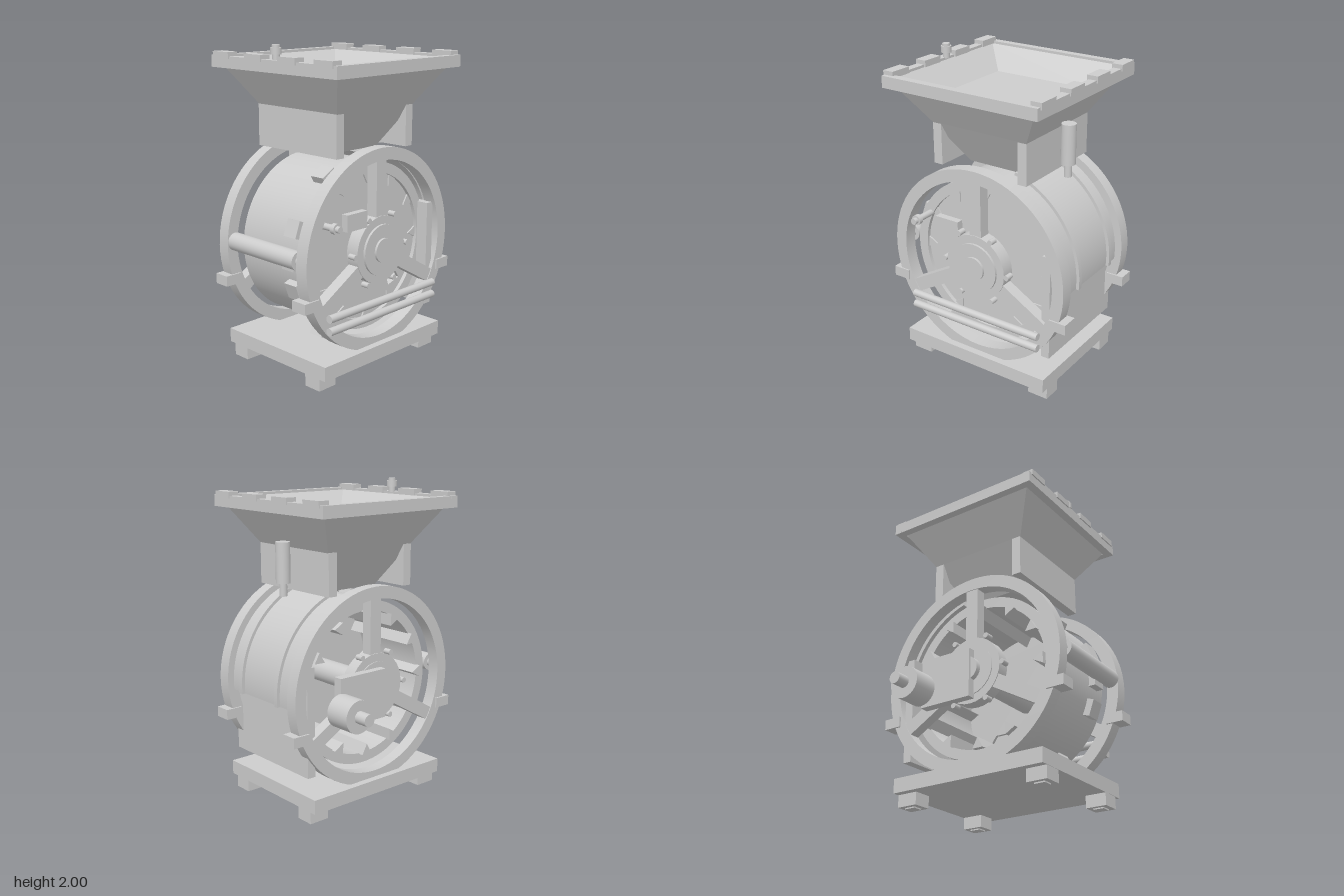
import * as THREE from 'three';
import { toCreasedNormals } from 'three/addons/utils/BufferGeometryUtils.js';

const CY = 0.767; // height of the drum axis
const MID = 0.078; // middle of the frame along x

export function createModel() {
  const model = new THREE.Group();
  const steel = new THREE.MeshStandardMaterial({ color: 0xcccccc });
  const sheetSteel = new THREE.MeshStandardMaterial({ color: 0xcccccc, side: THREE.DoubleSide });
  steel.name = 'steel';
  sheetSteel.name = 'sheetSteel';

  const add = (name, geo, mat = steel) => {
    const mesh = new THREE.Mesh(geo, mat);
    mesh.name = name;
    model.add(mesh);
    return mesh;
  };
  // box given by its limits
  const box = (name, x0, x1, y0, y1, z0, z1) =>
    add(name, new THREE.BoxGeometry(x1 - x0, y1 - y0, z1 - z0))
      .position.set((x0 + x1) / 2, (y0 + y1) / 2, (z0 + z1) / 2);
  // round bars along x and y
  const barX = (name, x0, x1, r, y, z) =>
    add(name, new THREE.CylinderGeometry(r, r, x1 - x0, 32).rotateZ(Math.PI / 2))
      .position.set((x0 + x1) / 2, y, z);
  const barY = (name, y0, y1, r, x, z) =>
    add(name, new THREE.CylinderGeometry(r, r, y1 - y0, 24)).position.set(x, (y0 + y1) / 2, z);
  // side profile (u towards the back, v up, around the axis) extruded along x
  const extrudeX = (name, shape, x0, x1) => {
    const geo = new THREE.ExtrudeGeometry(shape, { depth: x1 - x0, bevelEnabled: false, curveSegments: 40 });
    add(name, toCreasedNormals(geo.rotateY(Math.PI / 2), 0.5)).position.set(x0, CY, 0);
  };
  const annulus = (ri, ro) => {
    const s = new THREE.Shape().absarc(0, 0, ro, 0, Math.PI * 2);
    s.holes.push(new THREE.Path().absarc(0, 0, ri, 0, Math.PI * 2, true));
    return s;
  };
  const arcBand = (ri, ro, a0, a1) => {
    const s = new THREE.Shape().absarc(0, 0, ro, a0, a1);
    s.absarc(0, 0, ri, a1, a0, true);
    s.closePath();
    return s;
  };
  // radial box: angle measured from the back, upwards
  const radialBox = (name, x0, x1, r0, r1, width, deg) => {
    const a = THREE.MathUtils.degToRad(deg), r = (r0 + r1) / 2;
    const m = add(name, new THREE.BoxGeometry(x1 - x0, width, r1 - r0));
    m.position.set((x0 + x1) / 2, CY + Math.sin(a) * r, -Math.cos(a) * r);
    m.rotation.x = a;
  };

  // base and feet
  box('basePlate', -0.355, 0.51, 0.085, 0.175, -0.525, 0.525);
  for (const x of [-0.25, 0.4]) for (const z of [-0.455, 0.455]) {
    box('foot', x - 0.06, x + 0.06, 0.008, 0.09, z - 0.068, z + 0.068);
    box('footPad', x - 0.032, x + 0.032, 0, 0.01, z - 0.035, z + 0.035);
  }

  // side frames: ring, three spokes, hub, bolts and brackets
  for (const [x0, x1, out] of [[-0.31, -0.23, -1], [0.38, 0.465, 1]]) {
    extrudeX('frameRing', annulus(0.55, 0.627), x0, x1);
    for (const deg of [90, -30, 210]) radialBox('spoke', x0 + 0.005, x1 - 0.005, 0.12, 0.57, 0.085, deg);
    const boltX = out > 0 ? x1 - 0.015 : x0 + 0.015;
    barX('hubFlange', x0, x1, 0.212, CY, 0);
    barX('hub', x0 - (out > 0 ? 0.018 : 0.006), x1 + 0.015, 0.16, CY, 0);
    for (let i = 0; i < 6; i++) {
      const a = i * Math.PI / 3;
      barX('hubBolt', boltX - 0.025, boltX + 0.025, 0.017, CY + Math.sin(a) * 0.233, Math.cos(a) * 0.233);
    }
    for (const s of [-1, 1])
      box('ringBracket', x0 - 0.012, x1 + 0.01, 0.52, 0.585, s > 0 ? 0.535 : -0.65, s > 0 ? 0.65 : -0.535);
  }
  barX('mainShaft', -0.35, 0.495, 0.076, CY, 0);

  // drum with end plate and inner lifters
  extrudeX('drum', annulus(0.46, 0.525), -0.2, 0.36);
  const plate = new THREE.Shape().absarc(0, 0, 0.462, 0, Math.PI * 2);
  plate.holes.push(new THREE.Path([[0.13, -0.18], [0.19, -0.23], [0.22, -0.31], [0.32, -0.28], [0.25, -0.18]]
    .map(([u, v]) => new THREE.Vector2(u, v))));
  extrudeX('drumEndPlate', plate, 0.315, 0.335);
  for (let i = 0; i < 12; i++) {
    const a = i * Math.PI / 6;
    const p = (r, d) => new THREE.Vector2(Math.cos(a + d) * r, Math.sin(a + d) * r);
    extrudeX('lifter', new THREE.Shape([p(0.465, -0.08), p(0.465, 0.08), p(0.395, 0)]), -0.232, 0.345);
  }
  for (const deg of [120, 160, 180, 200]) radialBox('drumLug', 0.195, 0.295, 0.5, 0.568, 0.105, deg);
  radialBox('lowerLug', 0.195, 0.295, 0.5, 0.62, 0.12, 242);

  // rear cover with straps, and rear plate
  const top = 75 * Math.PI / 180, low = -5 * Math.PI / 180;
  extrudeX('rearCover', arcBand(0.555, 0.597, low, top), -0.2, 0.36);
  for (const x of [-0.12, 0.24]) extrudeX('coverStrap', arcBand(0.59, 0.617, low, top), x, x + 0.03);
  box('rearPlate', -0.285, 0.44, 0.29, 0.97, -0.52, -0.465);

  // front roller
  barX('frontRoller', -0.205, 0.36, 0.056, 0.802, 0.587);
  barX('rollerPin', -0.24, 0.39, 0.028, 0.802, 0.587);

  // fittings on the +x side: rails, control box, knob
  for (const y of [0.452, 0.373])
    add('sideRail', new THREE.CylinderGeometry(0.024, 0.024, 0.945, 24).rotateX(Math.PI / 2)).position.set(0.491, y, 0);
  box('controlBox', 0.42, 0.465, 0.932, 1.035, 0.127, 0.297);
  barX('knobStem', 0.33, 0.53, 0.02, 0.985, 0.423);
  barX('knobCollar', 0.475, 0.505, 0.032, 0.985, 0.423);

  // drive on the -x side
  box('motorMount', -0.365, -0.305, 0.58, 0.89, -0.33, 0.03);
  barX('motor', -0.53, -0.36, 0.102, 0.697, -0.33);
  barX('motorShaft', -0.615, -0.525, 0.038, 0.697, -0.33);

  // hopper: tapering outside and a shallower bowl inside, from rectangular sections
  const section = (y, hx, hz) => [[-hx, -hz], [hx, -hz], [hx, hz], [-hx, hz]].map(([x, z]) => [MID + x, y, z]);
  const loft = (name, sections) => {
    const pts = [];
    const quad = (a, b, c, d) => pts.push(...a, ...b, ...c, ...a, ...c, ...d);
    sections.slice(1).forEach((lower, k) => {
      const upper = sections[k];
      for (let i = 0; i < 4; i++) quad(upper[i], upper[(i + 1) % 4], lower[(i + 1) % 4], lower[i]);
    });
    quad(...sections[sections.length - 1]);
    const geo = new THREE.BufferGeometry();
    geo.setAttribute('position', new THREE.Float32BufferAttribute(pts, 3));
    geo.computeVertexNormals();
    add(name, geo, sheetSteel);
  };
  loft('hopperFunnel', [section(1.85, 0.482, 0.482), section(1.622, 0.335, 0.335), section(1.355, 0.17, 0.18)]);
  loft('hopperBowl', [section(1.9, 0.483, 0.483), section(1.77, 0.335, 0.333)]);

  // hopper rim, clips and support plates
  for (const s of [-1, 1]) {
    const span = (a, b) => s > 0 ? [a, b] : [-b, -a];
    box('hopperRimLong', -0.455, 0.61, 1.843, 1.915, ...span(0.482, 0.535));
    const [a, b] = span(0.482, 0.532);
    box('hopperRimSide', MID + a, MID + b, 1.843, 1.915, -0.482, 0.482);
    for (let i = 0; i < 4; i++) {
      const x = -0.43 + i * 0.29;
      box('rimClip', x, x + 0.143, 1.9, 1.94, ...span(0.472, 0.543));
    }
    box('hopperSupport', -0.26, 0.41, 1.36, 1.62, ...span(0.272, 0.333));
  }

  // rim knob and rear handle
  barY('rimKnobBase', 1.91, 1.95, 0.022, 0.075, 0.485);
  barY('rimKnob', 1.945, 1.985, 0.033, 0.075, 0.485);
  barY('rimKnobTop', 1.98, 2.0, 0.024, 0.075, 0.485);
  barY('rearHandle', 1.41, 1.66, 0.045, 0.08, -0.407);
  barY('rearHandleStem', 1.33, 1.415, 0.024, 0.08, -0.407);

  return model;
}
